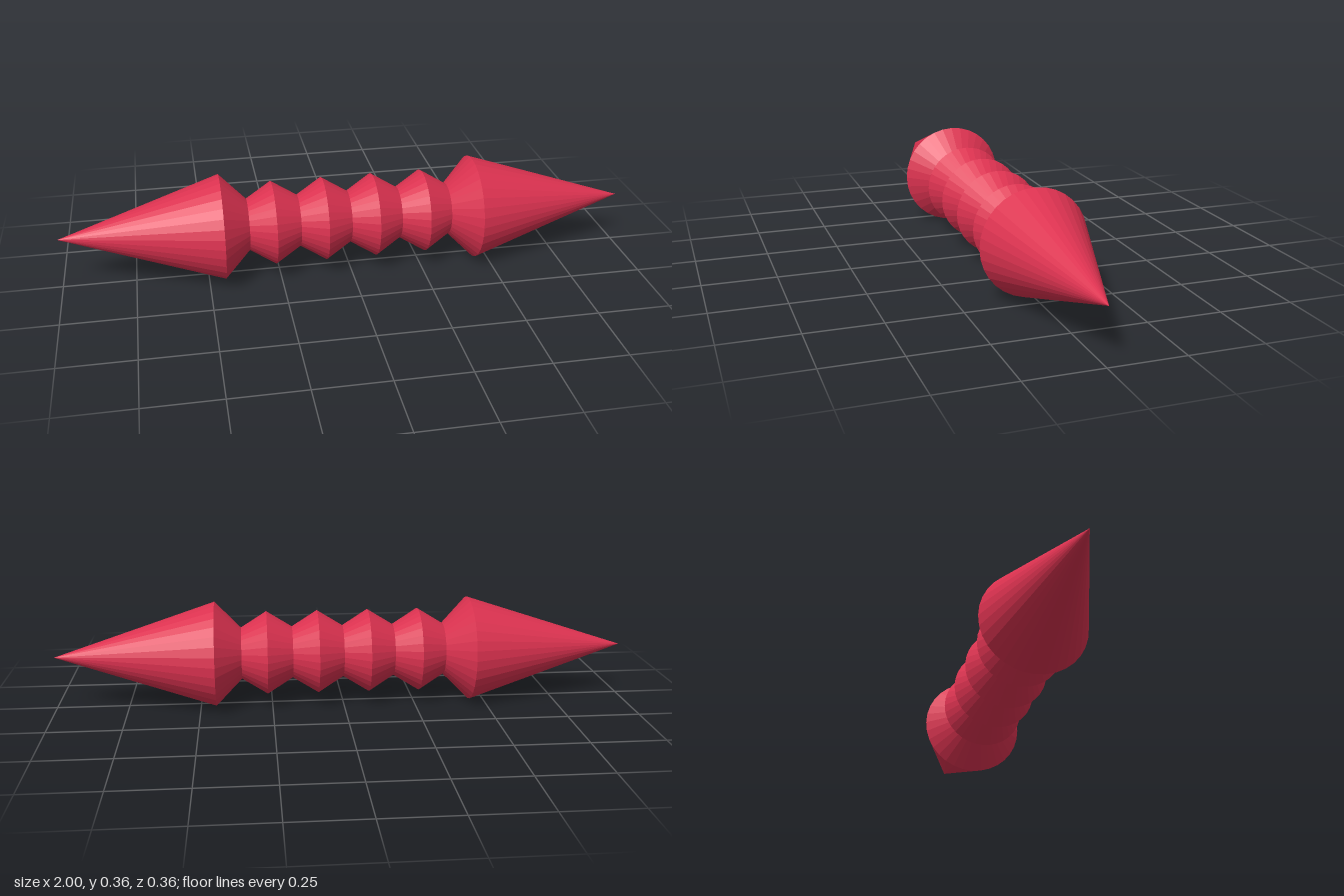
import * as THREE from 'three';

const SIDES = 32;
const TIP_RADIUS = 0.182;   // widest radius of the pointed heads
const RIDGE_RADIUS = 0.145; // crest of each grip ring
const NECK_RADIUS = 0.09;   // groove between rings
const PITCH = 0.1775;       // length of one grip ring
const HEAD_START = 2 * PITCH;

export function createModel() {
  const model = new THREE.Group();
  model.name = 'doublePointedBarbell';
  const red = new THREE.MeshStandardMaterial({ color: 0xdc3250, flatShading: true });
  red.name = 'crimson';

  // Turns a [radius, x] profile around the x axis
  const turned = (name, profile) => {
    const points = profile.map(([r, x]) => new THREE.Vector2(r, x));
    const geometry = new THREE.LatheGeometry(points, SIDES);
    geometry.rotateZ(-Math.PI / 2);
    const mesh = new THREE.Mesh(geometry, red);
    mesh.name = name;
    mesh.position.y = TIP_RADIUS;
    model.add(mesh);
    return mesh;
  };

  // Four ridged rings of the grip
  for (let i = 0; i < 4; i++) {
    const x = (i - 2) * PITCH;
    turned(`gripRing${i + 1}`, [
      [NECK_RADIUS, x], [RIDGE_RADIUS, x + PITCH / 2], [NECK_RADIUS, x + PITCH],
    ]);
  }

  // Pointed heads: short flare, then a long cone
  const head = [[NECK_RADIUS, HEAD_START], [TIP_RADIUS, 0.445], [0, 1]];
  turned('leftHead', head);
  turned('rightHead', head).rotation.y = Math.PI;

  return model;
}
